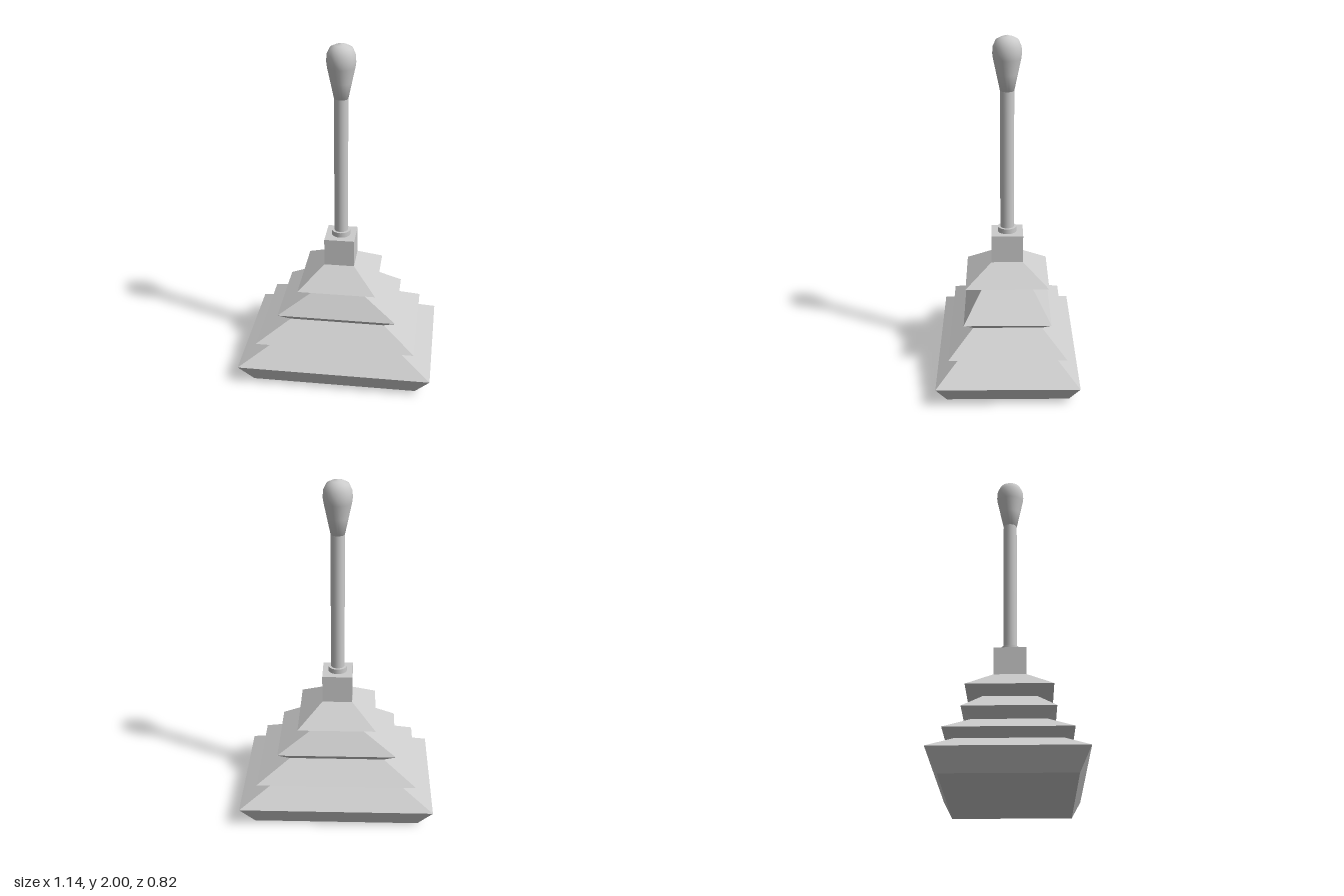
import * as THREE from 'three';

// Stack of rectangular rings [y, halfWidth, halfDepth] joined by flat faces and capped
function rectangularLoft(levels) {
  const positions = [];
  const corners = levels.map(([y, w, d]) => [[w, y, d], [w, y, -d], [-w, y, -d], [-w, y, d]]);
  const quad = (a, b, c, d) => positions.push(...a, ...b, ...c, ...a, ...c, ...d);
  for (let i = 0; i < corners.length - 1; i++) {
    for (let k = 0; k < 4; k++) {
      const n = (k + 1) % 4;
      quad(corners[i][k], corners[i][n], corners[i + 1][n], corners[i + 1][k]);
    }
  }
  quad(...[...corners[0]].reverse());
  quad(...corners[corners.length - 1]);
  const geometry = new THREE.BufferGeometry();
  geometry.setAttribute('position', new THREE.Float32BufferAttribute(positions, 3));
  geometry.computeVertexNormals();
  return geometry;
}

export function createModel() {
  const group = new THREE.Group();
  const smooth = new THREE.MeshStandardMaterial({ color: 0xcccccc });
  const flat = new THREE.MeshStandardMaterial({ color: 0xcccccc, flatShading: true });

  const add = (name, geometry, material, y = 0) => {
    const mesh = new THREE.Mesh(geometry, material);
    mesh.name = name;
    mesh.position.y = y;
    group.add(mesh);
  };

  // Pleated boot, alternating ridges and valleys, ending in a square neck
  add('bellowsBoot', rectangularLoft([
    [0, 0.485, 0.35],
    [0.115, 0.57, 0.408],
    [0.21, 0.39, 0.28],
    [0.245, 0.47, 0.337],
    [0.35, 0.28, 0.2],
    [0.4, 0.35, 0.252],
    [0.53, 0.14, 0.15],
    [0.57, 0.228, 0.243],
    [0.68, 0.088, 0.093],
    [0.845, 0.088, 0.093],
  ]), flat);

  // Collar where the rod enters the neck
  add('collar', new THREE.CylinderGeometry(0.055, 0.055, 0.035, 20), smooth, 0.8575);

  // Lever rod
  add('rod', new THREE.CylinderGeometry(0.04, 0.04, 0.86, 20), smooth, 1.27);

  // Teardrop knob
  const knobProfile = [
    [0, 1.69], [0.04, 1.69], [0.06, 1.785], [0.078, 1.87], [0.082, 1.9],
    [0.079, 1.94], [0.062, 1.976], [0.035, 1.99], [0, 2],
  ].map(([r, y]) => new THREE.Vector2(r, y));
  add('knob', new THREE.LatheGeometry(knobProfile, 20), smooth);

  return group;
}
